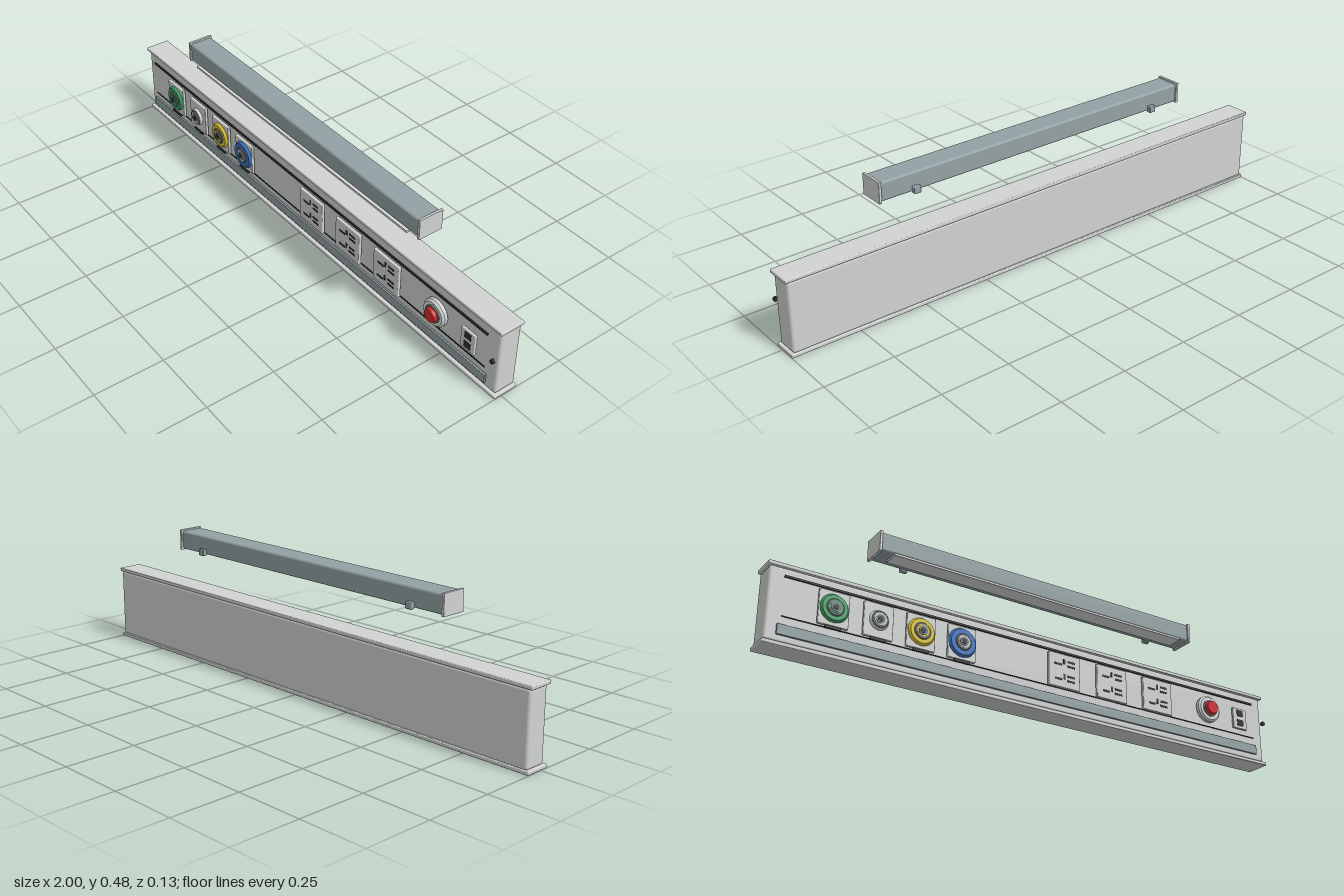
import * as THREE from 'three';
import { RoundedBoxGeometry } from 'three/addons/geometries/RoundedBoxGeometry.js';

const mat = (name, color) => {
  const m = new THREE.MeshStandardMaterial({ color });
  m.name = name;
  return m;
};

export function createModel() {
  const model = new THREE.Group();
  model.name = 'bedHeadUnit';
  const shell = mat('light grey', 0xd0d3d1);
  const steel = mat('blue grey', 0x93a1a4);
  const pale = mat('pale grey', 0xdadcdb);
  const dark = mat('charcoal', 0x2b2e30);
  const mid = mat('mid grey', 0x70787b);
  const green = mat('green', 0x3fa066);
  const yellow = mat('yellow', 0xd8c32e);
  const blue = mat('blue', 0x3b72c0);
  const red = mat('red', 0xd42a2e);

  const add = (parent, name, geo, material, x, y, z) => {
    const m = new THREE.Mesh(geo, material);
    m.name = name;
    m.position.set(x, y, z);
    parent.add(m);
    return m;
  };
  // boxes given by their minimum and maximum corners
  const box = (parent, name, material, x0, x1, y0, y1, z0, z1, r = 0) => {
    const s = [x1 - x0, y1 - y0, z1 - z0];
    const geo = r ? new RoundedBoxGeometry(...s, 3, r) : new THREE.BoxGeometry(...s);
    return add(parent, name, geo, material, (x0 + x1) / 2, (y0 + y1) / 2, (z0 + z1) / 2);
  };
  // discs facing the front, r0 at the back and r1 at the front
  const disc = (parent, name, material, x, y, z0, z1, r0, r1 = r0, sides = 40) => {
    const geo = new THREE.CylinderGeometry(r1, r0, z1 - z0, sides).rotateX(Math.PI / 2);
    return add(parent, name, geo, material, x, y, (z0 + z1) / 2);
  };
  const group = (name) => {
    const g = new THREE.Group();
    g.name = name;
    model.add(g);
    return g;
  };

  // wall trunking with overhanging rails
  const body = group('trunking');
  box(body, 'bodyShell', shell, -0.993, 0.993, 0.012, 0.267, -0.061, 0.022, 0.01);
  box(body, 'bottomRail', shell, -1, 1, 0, 0.013, -0.063, 0.03, 0.003);
  box(body, 'topRail', shell, -1, 1, 0.265, 0.278, -0.063, 0.03, 0.003);
  box(body, 'lowerStrip', steel, -0.957, 0.953, 0.034, 0.07, 0.025, 0.033, 0.002);
  box(body, 'upperGroove', dark, -0.945, 0.945, 0.23, 0.237, 0.028, 0.033);
  box(body, 'lowerGroove', dark, -0.945, 0.945, 0.096, 0.099, 0.028, 0.031);

  // gas outlets
  [[-0.78, green], [-0.626, pale], [-0.474, yellow], [-0.322, blue]].forEach(([x, color]) => {
    const g = group('gasOutlet');
    const y = 0.162;
    box(g, 'plate', shell, x - 0.052, x + 0.052, 0.102, 0.222, 0.03, 0.042, 0.003);
    const r = color === pale ? 0.034 : color === blue ? 0.052 : 0.049;
    disc(g, 'colourRing', color, x, y, 0.042, 0.051, r, r - 0.006);
    disc(g, 'collar', mid, x, y, 0.051, 0.054, 0.03, 0.027);
    disc(g, 'socketFace', color === blue ? pale : color, x, y, 0.054, 0.055, 0.021);
    disc(g, 'socketRim', mid, x, y, 0.055, 0.057, 0.016);
    disc(g, 'socketHole', dark, x, y, 0.057, 0.058, 0.009);
    box(g, 'labelBar', dark, x - 0.027, x + 0.027, 0.091, 0.1, 0.036, 0.044);
  });

  // power sockets with two rows of slots
  [0.083, 0.284, 0.485].forEach((x) => {
    const g = group('powerSocket');
    box(g, 'plate', shell, x - 0.064, x + 0.064, 0.097, 0.222, 0.03, 0.042, 0.003);
    [0.188, 0.133].forEach((y) => {
      const slot = (dx, dy, w, h) =>
        box(g, 'slot', dark, x + dx - w / 2, x + dx + w / 2, y + dy - h / 2, y + dy + h / 2, 0.041, 0.0435);
      slot(-0.026, -0.007, 0.03, 0.007);
      slot(-0.002, 0.005, 0.008, 0.019);
      slot(0.027, 0.008, 0.03, 0.007);
      slot(0.027, -0.009, 0.03, 0.007);
    });
  });

  // call button
  const call = group('callButton');
  disc(call, 'base', shell, 0.723, 0.162, 0.03, 0.042, 0.05, 0.05);
  disc(call, 'bezel', pale, 0.723, 0.162, 0.042, 0.049, 0.05, 0.043);
  disc(call, 'collar', mid, 0.723, 0.162, 0.049, 0.053, 0.032);
  disc(call, 'button', red, 0.723, 0.162, 0.05, 0.065, 0.027, 0.023);
  box(call, 'mark', dark, 0.719, 0.727, 0.199, 0.204, 0.046, 0.049);

  // data port
  const port = group('dataPort');
  box(port, 'plate', shell, 0.842, 0.906, 0.117, 0.198, 0.03, 0.04, 0.003);
  [0.178, 0.14].forEach((y) =>
    box(port, 'jack', dark, 0.86, 0.888, y - 0.012, y + 0.012, 0.039, 0.042));

  // small knob near the left end
  disc(group('endKnob'), 'knob', dark, 0.985, 0.16, 0.037, 0.046, 0.008, 0.008, 20);

  // lamp above the trunking
  const lamp = group('lamp');
  box(lamp, 'lampBody', steel, -0.635, 0.635, 0.411, 0.479, -0.037, 0.05, 0.008);
  box(lamp, 'diffuser', pale, -0.59, 0.59, 0.402, 0.411, -0.005, 0.057, 0.002);
  [-1, 1].forEach((s) => {
    const x = s * 0.638;
    box(lamp, 'endCap', shell, x - 0.005, x + 0.005, 0.407, 0.483, -0.041, 0.053, 0.002);
    const b = s * 0.507;
    box(lamp, 'bracket', steel, b - 0.013, b + 0.013, 0.408, 0.432, -0.053, -0.036, 0.003);
  });
  return model;
}
